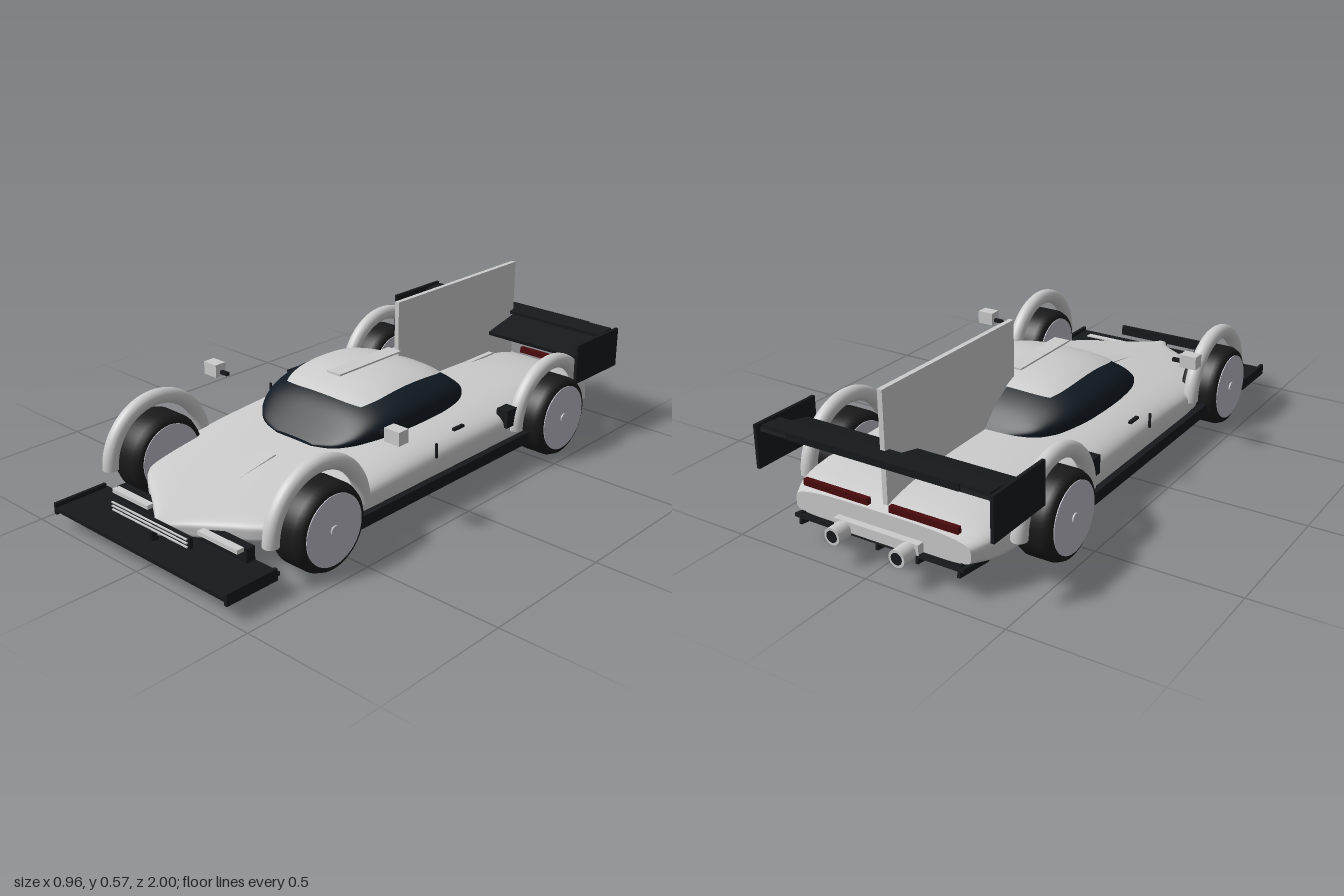
import * as THREE from 'three';

const mat = (color) => new THREE.MeshStandardMaterial({ color, side: THREE.DoubleSide });
const grey = mat(0xcccccc), dark = mat(0x17191c), tyreMat = mat(0x1a1a1a);
const glass = mat(0x111a22), rimMat = mat(0xb9bac4), red = mat(0x4a0a0c);

// Stations: [z, half width, bottom y, widest y, top y], from nose to tail
const bodyStations = [
  [0.93, 0.015, 0.1, 0.115, 0.13], [0.88, 0.05, 0.09, 0.115, 0.138], [0.8, 0.165, 0.085, 0.12, 0.15],
  [0.72, 0.285, 0.085, 0.125, 0.162], [0.6, 0.355, 0.085, 0.13, 0.18], [0.4, 0.385, 0.085, 0.14, 0.208],
  [0.2, 0.393, 0.085, 0.145, 0.23], [0, 0.397, 0.085, 0.15, 0.242], [-0.4, 0.4, 0.085, 0.155, 0.246],
  [-0.7, 0.388, 0.085, 0.15, 0.234], [-0.85, 0.365, 0.09, 0.15, 0.21], [-0.92, 0.33, 0.1, 0.145, 0.188],
];
const cabinStations = [
  [0.32, 0.09, 0.215, 0.222, 0.228], [0.305, 0.15, 0.215, 0.23, 0.242], [0.27, 0.205, 0.215, 0.245, 0.275],
  [0.2, 0.252, 0.215, 0.265, 0.334], [0.1, 0.278, 0.215, 0.278, 0.372], [-0.03, 0.285, 0.215, 0.28, 0.387],
  [-0.2, 0.27, 0.215, 0.28, 0.367], [-0.3, 0.222, 0.215, 0.265, 0.318], [-0.355, 0.155, 0.215, 0.25, 0.27],
  [-0.38, 0.07, 0.215, 0.235, 0.24],
];

// Smooth lookup of [half width, bottom, middle, top] at any z
function sampler(stations) {
  const curve = new THREE.CubicInterpolant(stations.map((s) => -s[0]), stations.flatMap((s) => s.slice(1)), 4);
  return (z) => Array.from(curve.evaluate(-z));
}

// Closed shell through superellipse cross-sections, with flat end caps
function loft(stations, upper, lower, steps = 60, sides = 64) {
  const at = sampler(stations), z0 = stations[0][0], z1 = stations[stations.length - 1][0];
  const pos = [], index = [];
  const pw = (v, p) => Math.sign(v) * Math.abs(v) ** p;
  const ring = (z) => {
    const [w, yb, ym, yt] = at(z);
    for (let j = 0; j < sides; j++) {
      const a = (j / sides) * Math.PI * 2, s = Math.sin(a), p = s >= 0 ? upper : lower;
      pos.push(w * pw(Math.cos(a), p), ym + (s >= 0 ? yt - ym : ym - yb) * pw(s, p), z);
    }
  };
  for (let i = 0; i <= steps; i++) {
    // stations bunch up towards both ends
    ring(z0 + (z1 - z0) * (0.5 - 0.5 * Math.cos((i / steps) * Math.PI)));
    if (i === steps) break;
    for (let j = 0; j < sides; j++) {
      const a = i * sides + j, b = i * sides + ((j + 1) % sides);
      index.push(a, a + sides, b, b, a + sides, b + sides);
    }
  }
  for (const [z, front] of [[z0, true], [z1, false]]) {
    const start = pos.length / 3;
    ring(z);
    pos.push(0, at(z)[2], z);
    for (let j = 0; j < sides; j++) {
      const a = start + j, b = start + ((j + 1) % sides);
      index.push(start + sides, front ? a : b, front ? b : a);
    }
  }
  const g = new THREE.BufferGeometry();
  g.setAttribute('position', new THREE.Float32BufferAttribute(pos, 3));
  g.setIndex(index);
  g.computeVertexNormals();
  return g;
}

export function createModel() {
  const model = new THREE.Group();
  const add = (name, geometry, material, x = 0, y = 0, z = 0, parent = model) => {
    const m = new THREE.Mesh(geometry, material);
    m.name = name;
    m.position.set(x, y, z);
    parent.add(m);
    return m;
  };
  // Box given by its limits on each axis
  const box = (name, material, x0, x1, y0, y1, z0, z1) =>
    add(name, new THREE.BoxGeometry(x1 - x0, y1 - y0, z1 - z0), material, (x0 + x1) / 2, (y0 + y1) / 2, (z0 + z1) / 2);
  // Same box on both sides of the car
  const pair = (name, material, x0, x1, ...rest) => {
    box(name + 'Left', material, x0, x1, ...rest);
    box(name + 'Right', material, -x1, -x0, ...rest);
  };

  // Body shell and cabin
  add('body', loft(bodyStations, 0.65, 0.3), grey);
  const cabinPower = 0.85;
  add('cabinGlass', loft(cabinStations, cabinPower, 0.7), glass);

  // Roof panel draped over the cabin
  const cabinAt = sampler(cabinStations);
  const roof = new THREE.PlaneGeometry(2, 2, 24, 24).rotateX(-Math.PI / 2);
  const rp = roof.attributes.position;
  for (let i = 0; i < rp.count; i++) {
    const u = rp.getX(i), v = rp.getZ(i);
    const x = 0.205 * u * (1 - 0.15 * v ** 4), z = -0.03 + 0.22 * v * (1 - 0.06 * u ** 4);
    const [w, , ym, yt] = cabinAt(z), n = 2 / cabinPower;
    rp.setXYZ(i, x, ym + (yt - ym) * (1 - (Math.abs(x) / w) ** n) ** (1 / n) + 0.006, z);
  }
  roof.computeVertexNormals();
  add('roofPanel', roof, grey);
  box('roofPlate', grey, -0.03, 0.03, 0.394, 0.4, -0.19, 0.125);
  box('hoodPlate', grey, -0.03, 0.03, 0.183, 0.19, 0.43, 0.65).rotation.x = 0.17;
  box('tailPlate', grey, -0.03, 0.03, 0.236, 0.242, -0.74, -0.6);
  box('centreFin', grey, -0.009, 0.009, 0.19, 0.573, -0.89, -0.2);

  // Wheels and arches
  const tyreProfile = (w) => [[0.1, -0.5], [0.125, -0.5], [0.138, -0.45], [0.147, -0.3],
    [0.147, 0.3], [0.138, 0.45], [0.125, 0.5], [0.1, 0.5]].map(([r, y]) => new THREE.Vector2(r, y * w));
  const arch = new THREE.TorusGeometry(0.198, 0.027, 20, 48, Math.PI).rotateY(Math.PI / 2);
  for (const [end, z, x, width, archX] of [['front', 0.595, 0.38, 0.14, 0.383], ['rear', -0.58, 0.403, 0.135, 0.403]]) {
    const tyre = new THREE.LatheGeometry(tyreProfile(width), 48).rotateZ(Math.PI / 2);
    const rim = new THREE.CylinderGeometry(0.119, 0.119, width + 0.006, 40).rotateZ(Math.PI / 2);
    const cap = new THREE.CylinderGeometry(0.018, 0.018, width + 0.016, 20).rotateZ(Math.PI / 2);
    for (const side of [1, -1]) {
      const wheel = new THREE.Group();
      wheel.name = end + (side > 0 ? 'LeftWheel' : 'RightWheel');
      wheel.position.set(side * x, 0.147, z);
      add('tyre', tyre, tyreMat, 0, 0, 0, wheel);
      add('rim', rim, rimMat, 0, 0, 0, wheel);
      add('hubCap', cap, rimMat, 0, 0, 0, wheel);
      model.add(wheel);
      add(end + 'Arch', arch, grey, side * archX, 0.147, z);
    }
  }

  // Front splitter, nose bar and lamps
  box('splitter', dark, -0.415, 0.415, 0.062, 0.075, 0.79, 1);
  box('splitterRiser', dark, -0.31, 0.31, 0.07, 0.122, 0.79, 0.825);
  pair('splitterFence', dark, 0.405, 0.417, 0.05, 0.09, 0.8, 1);
  pair('headlamp', grey, 0.12, 0.3, 0.112, 0.126, 0.825, 0.852);
  box('noseBar', dark, -0.188, 0.188, 0.122, 0.16, 0.925, 0.938);
  for (const y of [0.128, 0.141, 0.154])
    box('noseBarStrip', grey, -0.18, 0.18, y - 0.002, y + 0.002, 0.936, 0.944);
  add('noseIntake', new THREE.CylinderGeometry(0.02, 0.016, 0.03, 20), dark, 0, 0.1, 0.925);

  // Side details
  pair('sideSkirt', dark, 0.4, 0.424, 0.08, 0.122, -0.44, 0.465);
  pair('mirror', grey, 0.395, 0.457, 0.328, 0.375, 0.265, 0.31);
  pair('mirrorStalk', dark, 0.36, 0.4, 0.338, 0.35, 0.278, 0.292);
  pair('doorSeam', dark, 0.392, 0.4, 0.18, 0.232, 0.046, 0.052);
  pair('doorHandle', dark, 0.388, 0.4, 0.248, 0.257, -0.092, -0.04);
  pair('sideIntake', dark, 0.365, 0.412, 0.17, 0.235, -0.375, -0.32);

  // Rear wing
  box('wingPlane', dark, -0.43, 0.43, 0.334, 0.348, -0.95, -0.735).rotation.x = 0.22;
  box('wingFlap', dark, -0.32, 0.32, 0.36, 0.384, -0.955, -0.943);
  box('wingTopFlap', dark, -0.42, 0.42, 0.368, 0.38, -0.95, -0.87).rotation.x = 0.08;
  pair('wingEndplate', dark, 0.43, 0.442, 0.235, 0.384, -0.965, -0.697);

  // Tail lights, bumper, exhausts and diffuser
  pair('tailLight', red, 0.04, 0.29, 0.2, 0.222, -0.925, -0.908);
  box('tailBumper', grey, -0.16, 0.16, 0.1, 0.135, -0.945, -0.88);
  const pipe = new THREE.CylinderGeometry(0.029, 0.029, 0.15, 28).rotateX(Math.PI / 2);
  const bore = new THREE.CylinderGeometry(0.02, 0.02, 0.004, 24).rotateX(Math.PI / 2);
  for (const side of [1, -1]) {
    add('exhaust', pipe, grey, side * 0.122, 0.106, -0.925);
    add('exhaustBore', bore, dark, side * 0.122, 0.106, -0.999);
  }
  box('diffuser', dark, -0.32, 0.32, 0.077, 0.089, -0.945, -0.75).rotation.x = 0.16;
  for (let i = -2; i <= 2; i++)
    box('diffuserFin', dark, i * 0.15 - 0.005, i * 0.15 + 0.005, 0.06, 0.1, -0.94, -0.79).rotation.x = 0.12;
  return model;
}
